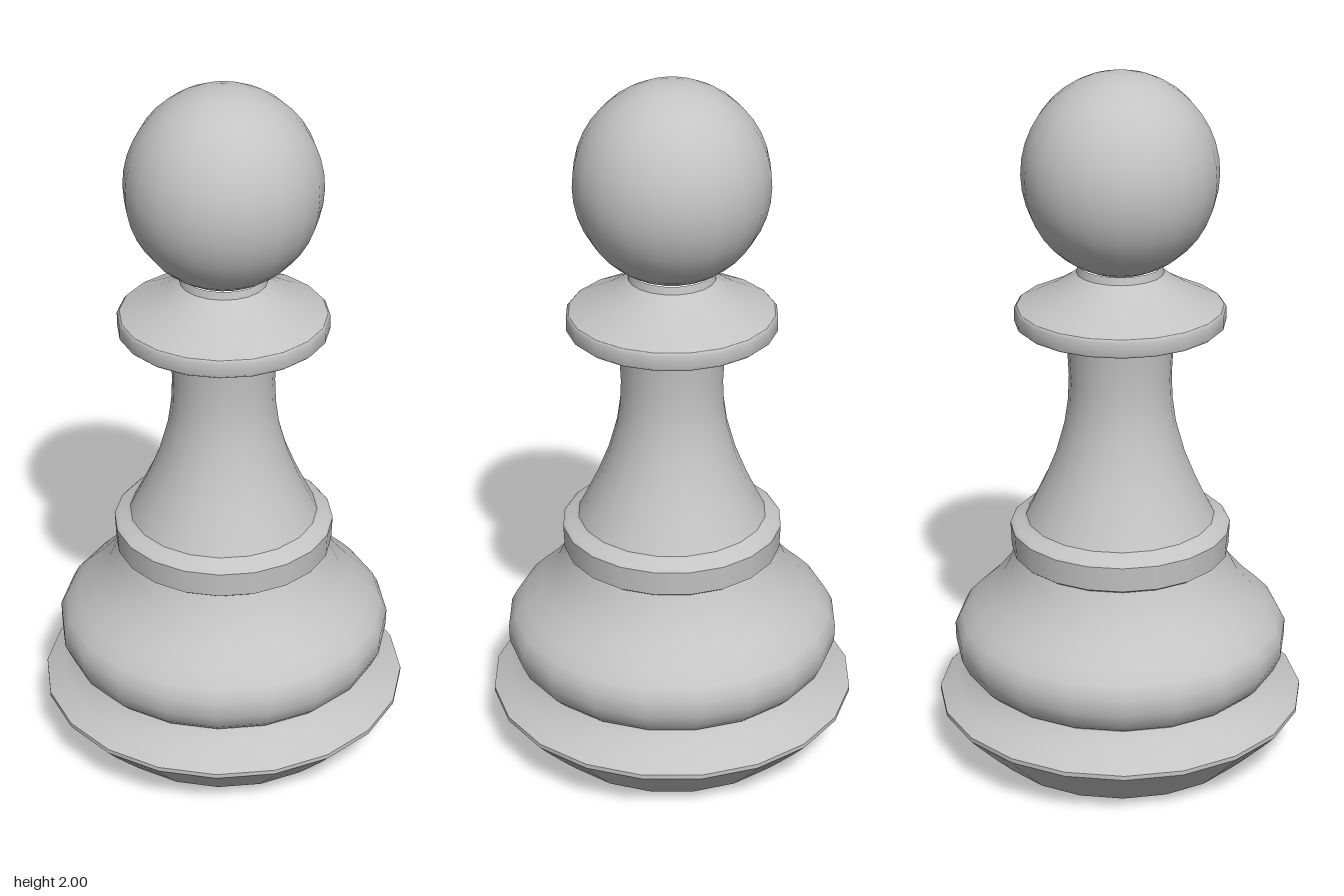
import * as THREE from 'three';

const SIDES = 20;
const TURN = THREE.MathUtils.degToRad(3.3);

export function createModel() {
  const model = new THREE.Group();
  model.name = 'pawn';
  const grey = new THREE.MeshStandardMaterial({ color: 0xc4c4c4 });
  grey.name = 'light grey';

  // One turned part, made of smooth sections with sharp edges between them.
  // Each section is a list of [radius, height] from bottom to top.
  function turned(name, sections) {
    const part = new THREE.Group();
    part.name = name;
    for (const section of sections) {
      const points = section.map(([r, y]) => new THREE.Vector2(r, y));
      const mesh = new THREE.Mesh(new THREE.LatheGeometry(points, SIDES, TURN), grey);
      mesh.name = name + 'Section';
      part.add(mesh);
    }
    model.add(part);
  }

  // Flared foot with a flat underside
  turned('foot', [
    [[0, 0], [0.375, 0]],
    [[0.375, 0], [0.393, 0.008], [0.41, 0.025], [0.455, 0.07], [0.505, 0.122], [0.53, 0.15]],
    [[0.53, 0.15], [0.53, 0.163]],
    [[0.53, 0.163], [0.48, 0.192], [0.445, 0.22], [0.428, 0.245]],
    [[0.428, 0.245], [0.4, 0.25]],
  ]);

  // Rounded bulge above the foot
  turned('bulge', [
    [[0.41, 0.242], [0.435, 0.25], [0.46, 0.275], [0.48, 0.32], [0.481, 0.37],
      [0.463, 0.405], [0.43, 0.44], [0.38, 0.487], [0.335, 0.54], [0.31, 0.59], [0.301, 0.61]],
  ]);

  // Raised band where the stem begins
  turned('band', [
    [[0.301, 0.61], [0.312, 0.618]],
    [[0.312, 0.618], [0.315, 0.69]],
    [[0.315, 0.69], [0.305, 0.7], [0.28, 0.708], [0.268, 0.718]],
  ]);

  // Tapering stem
  turned('stem', [
    [[0.275, 0.706], [0.25, 0.755], [0.214, 0.83], [0.182, 0.91], [0.157, 1.0],
      [0.147, 1.07], [0.144, 1.14], [0.148, 1.22], [0.156, 1.3]],
  ]);

  // Collar disc with a concave top
  turned('collar', [
    [[0.14, 1.295], [0.285, 1.295]],
    [[0.285, 1.295], [0.294, 1.303], [0.294, 1.34], [0.287, 1.348]],
    [[0.287, 1.348], [0.24, 1.37], [0.19, 1.395], [0.15, 1.42], [0.121, 1.443]],
    [[0.121, 1.443], [0.117, 1.465]],
  ]);

  // Slightly tall ball head
  const ball = new THREE.SphereGeometry(0.27, SIDES, 20);
  ball.rotateY(TURN);
  ball.scale(1, 0.28 / 0.27, 1);
  const head = new THREE.Mesh(ball, grey);
  head.name = 'head';
  head.position.y = 1.72;
  model.add(head);

  return model;
}
